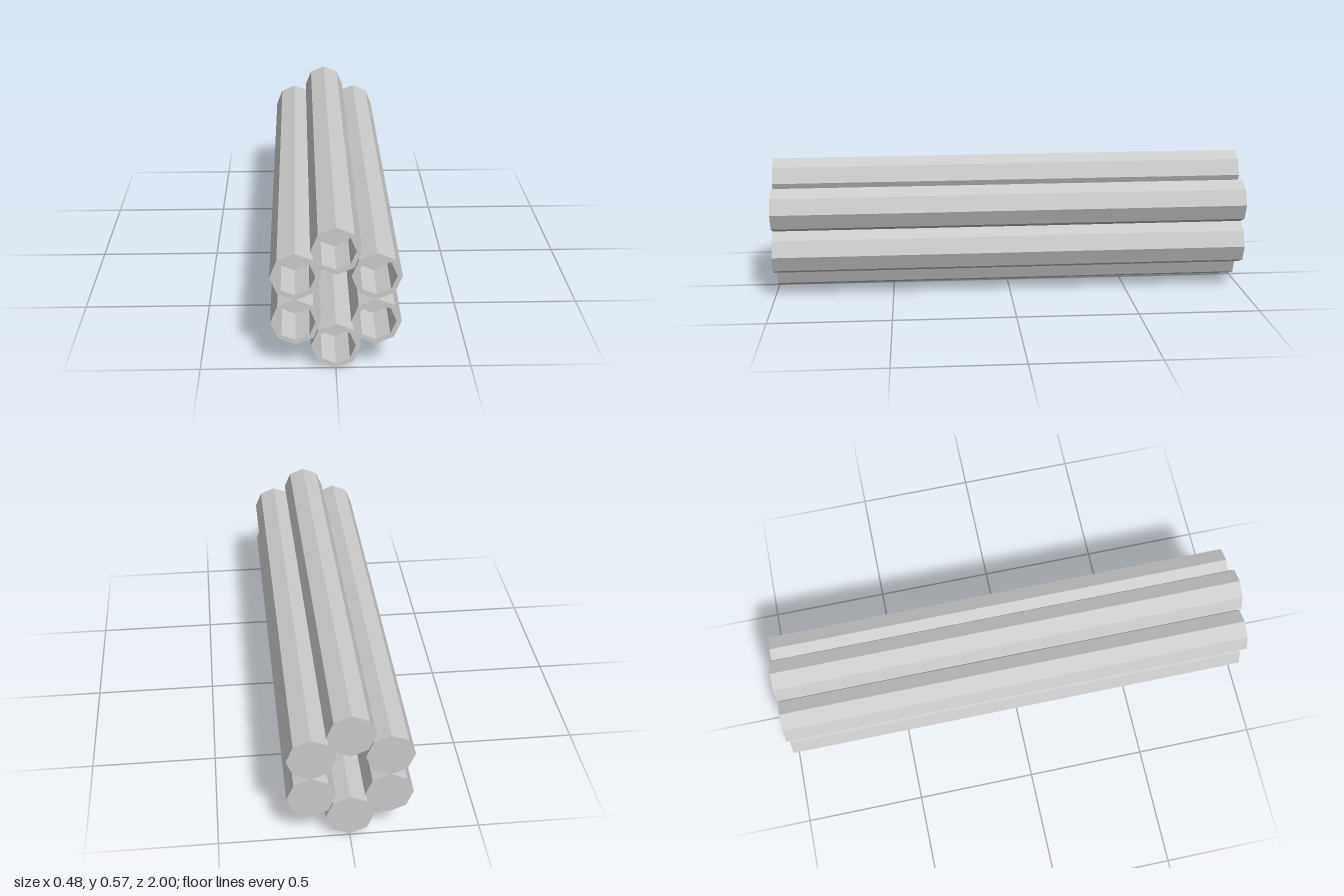
import * as THREE from 'three';

const OUTER = 0.092, BORE = 0.073, BORE_DEPTH = 0.2, SIDES = 8;

// Octagonal tube along z: closed at the back, bored from the front, rising slightly to the rear
function barrelGeometry() {
  const profile = [
    [0, -1], [OUTER, -1], [OUTER, 1], [BORE, 1], [BORE, 1 - BORE_DEPTH], [0, 1 - BORE_DEPTH],
  ].map(([r, y]) => new THREE.Vector2(r, y));
  const geometry = new THREE.LatheGeometry(profile, SIDES);
  geometry.rotateX(Math.PI / 2);
  const shear = new THREE.Matrix4().set(
    1, 0, 0, 0,
    0, 1, -0.0025, 0,
    0, 0, 1, 0,
    0, 0, 0, 1,
  );
  return geometry.applyMatrix4(shear);
}

export function createModel() {
  const group = new THREE.Group();
  group.name = 'barrelCluster';
  const material = new THREE.MeshStandardMaterial({ color: 0xcccccc, flatShading: true });
  const geometry = barrelGeometry();

  // Ring of six barrels, slightly taller than wide
  for (let i = 0; i < 6; i++) {
    const angle = (i * Math.PI) / 3;
    const barrel = new THREE.Mesh(geometry, material);
    barrel.name = `barrel${i + 1}`;
    barrel.position.set(0.17 * Math.sin(angle), 0.286 + 0.1905 * Math.cos(angle), 0);
    // Side barrels sit a touch closer to the middle height
    if (i % 3) barrel.position.y -= 0.0045 * Math.sign(Math.cos(angle));
    group.add(barrel);
  }
  return group;
}
